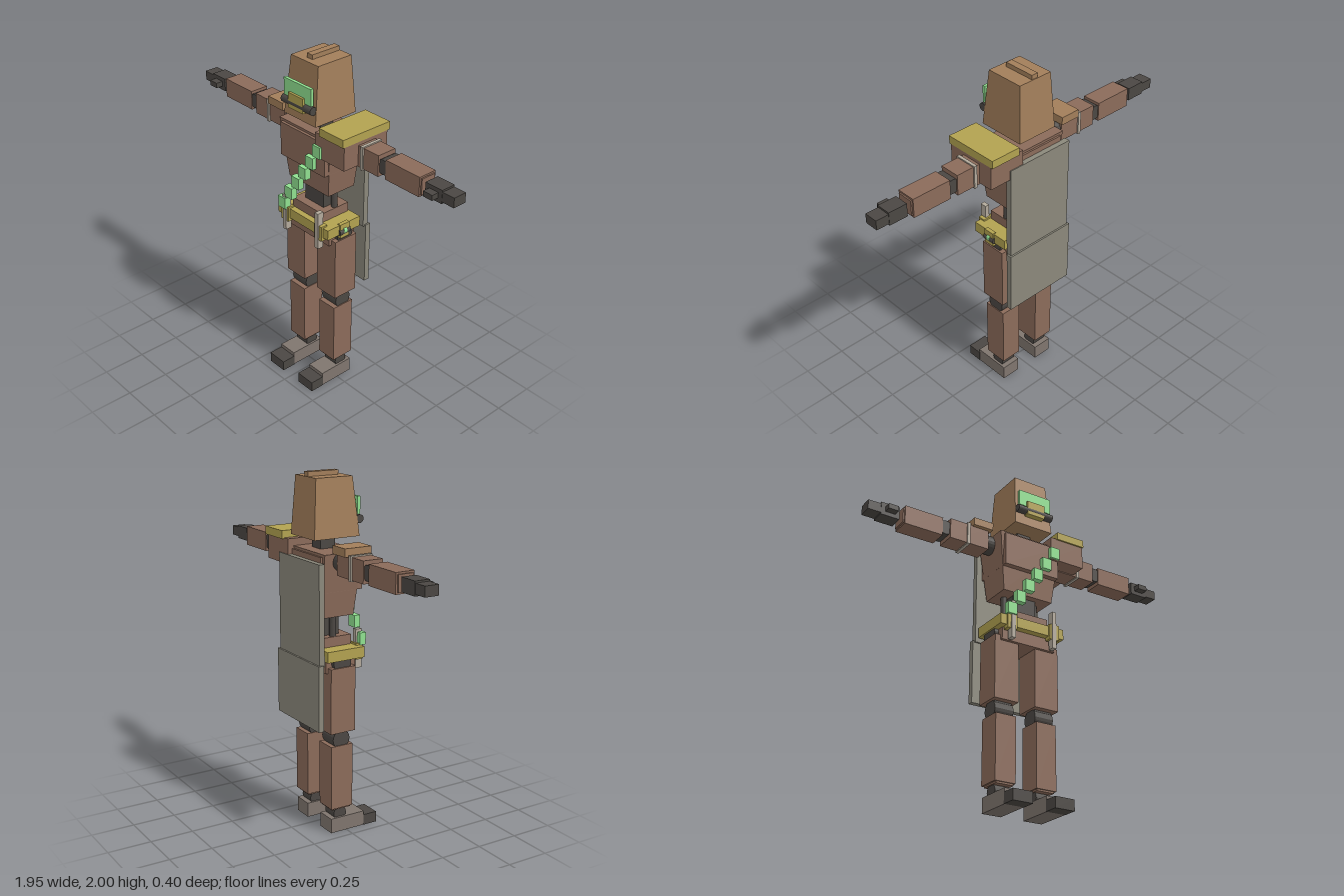
import * as THREE from 'three';

const mat = (color) => new THREE.MeshStandardMaterial({ color, flatShading: true });
const brown = mat(0x8b6b5a), tan = mat(0xa27e5a), olive = mat(0xb2a250), green = mat(0x90e090);
const dark = mat(0x4b4743), cloth = mat(0x8b887b), boot = mat(0x7f756e), strap = mat(0xb3aa9c);

export function createModel() {
  const model = new THREE.Group();

  const add = (parent, name, geometry, material) => {
    const mesh = new THREE.Mesh(geometry, material);
    mesh.name = name;
    parent.add(mesh);
    return mesh;
  };

  // Box given by its [min, max] range on each axis
  const box = (parent, name, material, [x0, x1], [y0, y1], [z0, z1]) => {
    const mesh = add(parent, name, new THREE.BoxGeometry(x1 - x0, y1 - y0, z1 - z0), material);
    mesh.position.set((x0 + x1) / 2, (y0 + y1) / 2, (z0 + z1) / 2);
    return mesh;
  };

  // Box whose top and bottom have their own x half-width and z range
  const taper = (parent, name, material, [y0, y1], bottom, top) => {
    const g = new THREE.BoxGeometry(2, 1, 1);
    const p = g.attributes.position;
    for (let i = 0; i < p.count; i++) {
      const up = p.getY(i) > 0;
      const [w, z0, z1] = up ? top : bottom;
      p.setXYZ(i, Math.sign(p.getX(i)) * w, up ? y1 : y0, p.getZ(i) > 0 ? z1 : z0);
    }
    g.computeVertexNormals();
    return add(parent, name, g, material);
  };

  // Cylinder lying along x, or along z
  const rod = (parent, name, material, r, length, [x, y, z], axis = 'x') => {
    const g = new THREE.CylinderGeometry(r, r, length, 20);
    if (axis === 'x') g.rotateZ(Math.PI / 2);
    else if (axis === 'z') g.rotateX(Math.PI / 2);
    const mesh = add(parent, name, g, material);
    mesh.position.set(x, y, z);
    return mesh;
  };

  // Head with crest, visor and breather
  const head = new THREE.Group();
  head.name = 'head';
  model.add(head);
  taper(head, 'helmet', tan, [1.655, 1.975], [0.123, -0.165, 0.115], [0.105, -0.145, 0.08]);
  box(head, 'crest', tan, [-0.02, 0.02], [1.97, 2.0], [-0.14, 0.045]);
  box(head, 'visor', green, [-0.105, 0.105], [1.77, 1.865], [0.112, 0.13]);
  box(head, 'breather', olive, [-0.057, 0.057], [1.715, 1.8], [0.1, 0.143]);
  rod(head, 'breatherTube', dark, 0.023, 0.23, [0, 1.745, 0.122]);
  box(model, 'neck', dark, [-0.043, 0.043], [1.57, 1.67], [-0.08, 0.01]);

  // Torso
  taper(model, 'ribcage', brown, [1.24, 1.59], [0.158, -0.13, 0.055], [0.2, -0.15, 0.085]);
  box(model, 'chestPlate', brown, [-0.175, 0.175], [1.38, 1.575], [-0.16, 0.1]);
  box(model, 'waist', dark, [-0.075, 0.075], [1.11, 1.25], [-0.085, 0.015]);
  for (const x of [-0.1, 0.1]) {
    rod(model, 'waistPiston', dark, 0.018, 0.14, [x, 1.18, -0.04], 'y');
  }

  // Pelvis and belt
  box(model, 'pelvisTop', brown, [-0.12, 0.12], [1.06, 1.12], [-0.125, 0.065]);
  box(model, 'belt', olive, [-0.205, 0.205], [1.005, 1.065], [-0.135, 0.1]);
  box(model, 'pelvis', brown, [-0.17, 0.17], [0.935, 1.01], [-0.125, 0.06]);

  // Hip canister on the left side
  box(model, 'hipPouch', olive, [0.19, 0.213], [0.985, 1.07], [-0.05, 0.015]);
  rod(model, 'canister', dark, 0.02, 0.075, [0.2, 1.02, -0.018], 'z');
  rod(model, 'canisterBand', green, 0.022, 0.02, [0.2, 1.025, -0.018], 'z');

  // Diagonal row of cartridges across the chest
  for (let i = 0; i < 6; i++) {
    const x = 0.14 - i * 0.057, y = 1.525 - i * 0.085;
    box(model, 'cartridge', green, [x - 0.029, x + 0.029], [y - 0.034, y + 0.034], [0.09, 0.127]);
  }

  // Legs, arms and belt fittings for each side
  for (const s of [-1, 1]) {
    const side = s > 0 ? 'left' : 'right';
    const X = (a, b) => (s > 0 ? [a, b] : [-b, -a]);

    box(model, 'beltClip', olive, X(0.107, 0.167), [0.985, 1.075], [0.07, 0.112]);
    box(model, 'beltStrap', strap, X(0.12, 0.146), [0.93, 1.15], [0.08, 0.118]);

    const leg = new THREE.Group();
    leg.name = side + 'Leg';
    model.add(leg);
    rod(leg, 'hip', dark, 0.055, 0.09, [s * 0.15, 0.99, -0.035]);
    box(leg, 'thigh', brown, X(0.053, 0.203), [0.595, 0.965], [-0.112, 0.042]);
    rod(leg, 'knee', dark, 0.053, 0.115, [s * 0.127, 0.55, -0.035]);
    box(leg, 'kneeLink', dark, X(0.075, 0.18), [0.5, 0.61], [-0.075, 0.005]);
    box(leg, 'shin', brown, X(0.065, 0.19), [0.145, 0.515], [-0.102, 0.035]);
    box(leg, 'shinCuff', brown, X(0.073, 0.18), [0.135, 0.15], [-0.092, 0.027]);
    rod(leg, 'ankle', dark, 0.04, 0.09, [s * 0.127, 0.105, -0.035]);
    box(leg, 'foot', boot, X(0.07, 0.185), [0, 0.085], [-0.1, 0.117]);
    box(leg, 'toe', dark, X(0.067, 0.187), [0, 0.062], [0.115, 0.2]);

    const arm = new THREE.Group();
    arm.name = side + 'Arm';
    model.add(arm);
    rod(arm, 'shoulder', dark, 0.055, 0.1, [s * 0.215, 1.547, -0.042]);
    box(arm, 'upperArm', brown, X(0.24, 0.485), [1.485, 1.605], [-0.1, 0.018]);
    box(arm, 'armBand', strap, X(0.362, 0.38), [1.478, 1.612], [-0.108, 0.026]);
    rod(arm, 'elbow', dark, 0.042, 0.1, [s * 0.508, 1.545, -0.042], 'z');
    box(arm, 'forearm', brown, X(0.53, 0.762), [1.487, 1.597], [-0.098, 0.012]);
    box(arm, 'wristCuff', brown, X(0.755, 0.77), [1.497, 1.587], [-0.088, 0.002]);
    box(arm, 'palm', dark, X(0.79, 0.9), [1.505, 1.58], [-0.085, 0]);
    box(arm, 'fingers', dark, X(0.895, 0.975), [1.515, 1.57], [-0.083, -0.002]);
    box(arm, 'thumb', dark, X(0.815, 0.875), [1.528, 1.558], [-0.01, 0.042]);
  }

  // Uneven shoulder armour
  box(model, 'leftShoulderBlock', brown, [0.12, 0.34], [1.49, 1.63], [-0.185, 0.115]);
  box(model, 'leftShoulderPad', olive, [0.16, 0.342], [1.625, 1.67], [-0.2, 0.125]);
  box(model, 'rightShoulderPad', tan, [-0.347, -0.225], [1.6, 1.645], [-0.12, 0.042]);

  // Two-part back cape
  box(model, 'upperCape', cloth, [-0.21, 0.21], [0.99, 1.545], [-0.19, -0.157]);
  box(model, 'lowerCape', cloth, [-0.22, 0.22], [0.63, 1.0], [-0.2, -0.167]);

  return model;
}
